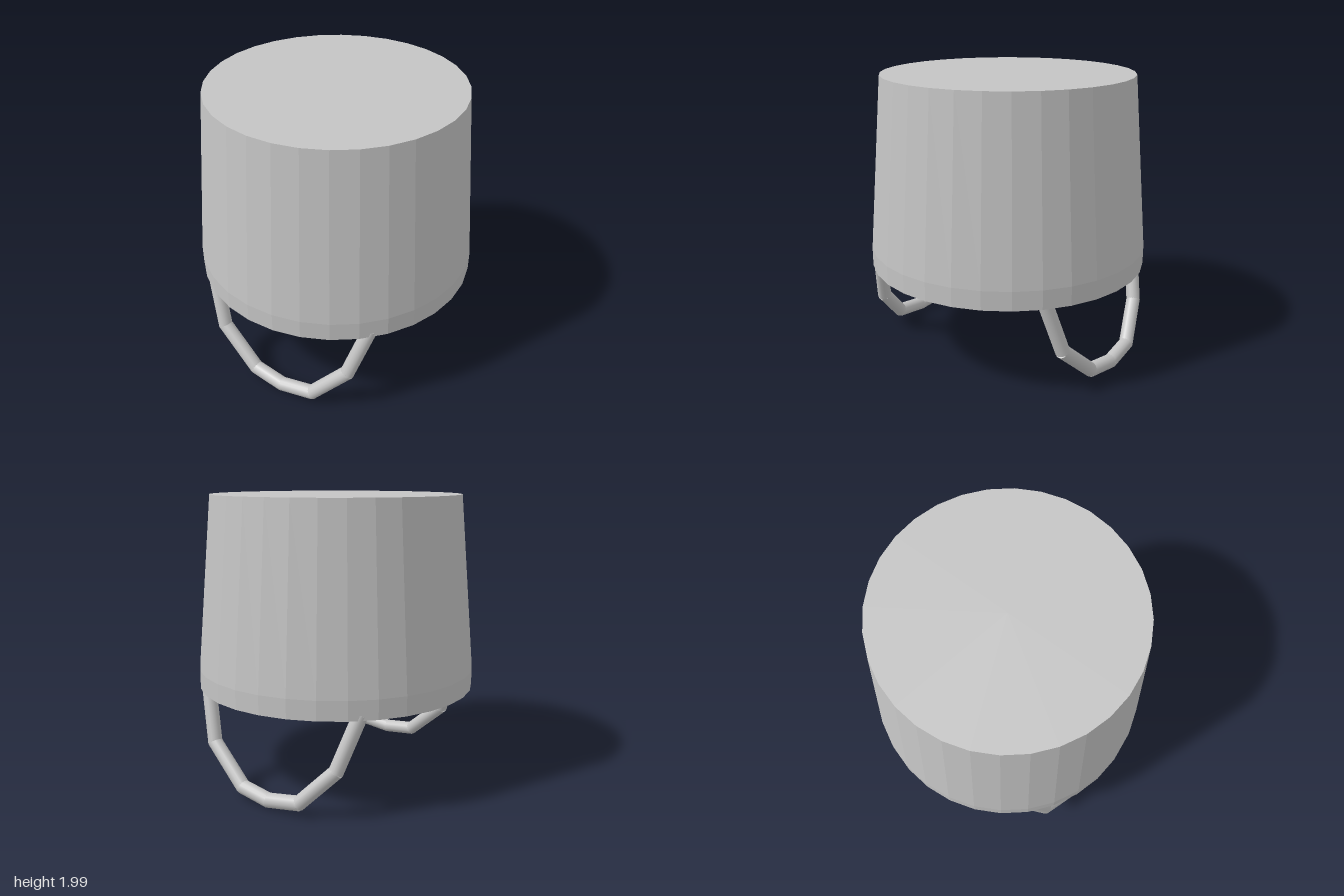
import * as THREE from 'three';

export function createModel() {
  const model = new THREE.Group();
  const grey = new THREE.MeshStandardMaterial({ color: 0xc4c4c4, flatShading: true });
  grey.name = 'grey';
  const smoothGrey = new THREE.MeshStandardMaterial({ color: 0xc4c4c4 });
  smoothGrey.name = 'handleGrey';

  // Hollow tapered bucket, open downwards: inside ceiling, inner wall, rim, outer wall, top
  const profile = [
    [0, 1.94], [0.815, 1.94], [0.91, 0.8], [0.91, 0.67],
    [0.975, 0.67], [0.975, 0.8], [0.87, 2], [0, 2],
  ].map(([r, y]) => new THREE.Vector2(r, y));
  const bucket = new THREE.Mesh(new THREE.LatheGeometry(profile, 32), grey);
  bucket.name = 'bucket';
  model.add(bucket);

  // Hanging handle made of short straight tubes
  function makeHandle(name) {
    const handle = new THREE.Group();
    handle.name = name;
    const points = [
      [-0.63, 0.69, 0.67], [-0.53, 0.33, 0.75], [-0.25, 0.085, 0.82], [-0.02, 0.055, 0.86],
      [0.22, 0.09, 0.87], [0.46, 0.33, 0.81], [0.58, 0.69, 0.72],
    ].map((p) => new THREE.Vector3(...p));
    const up = new THREE.Vector3(0, 1, 0);
    for (let i = 0; i < points.length - 1; i++) {
      const dir = points[i + 1].clone().sub(points[i]);
      const tube = new THREE.Mesh(
        new THREE.CylinderGeometry(0.049, 0.049, dir.length() + 0.015, 16), smoothGrey);
      tube.name = 'handleSegment';
      tube.position.copy(points[i]).addScaledVector(dir, 0.5);
      tube.quaternion.setFromUnitVectors(up, dir.normalize());
      handle.add(tube);
    }
    return handle;
  }

  // The second handle is the first turned half way round
  const backHandle = makeHandle('backHandle');
  backHandle.rotation.y = Math.PI;
  model.add(makeHandle('frontHandle'), backHandle);
  return model;
}
